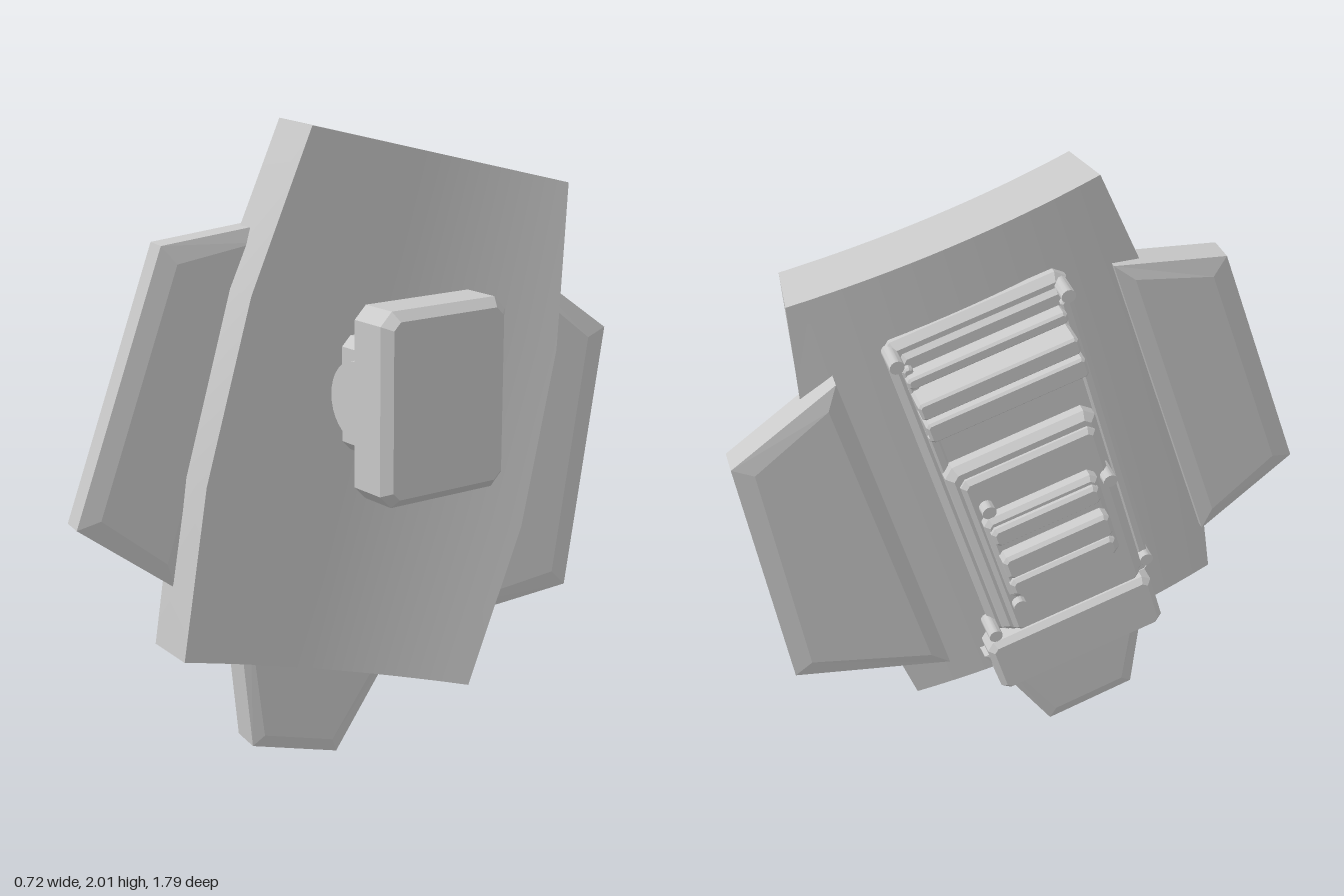
import * as THREE from 'three';
import { toCreasedNormals } from 'three/addons/utils/BufferGeometryUtils.js';

const grey = new THREE.MeshStandardMaterial({ color: 0xc8c8c8 });
grey.name = 'plain grey';

function add(parent, name, geometry, x = 0, y = 0, z = 0) {
  const mesh = new THREE.Mesh(geometry, grey);
  mesh.name = name;
  mesh.position.set(x, y, z);
  parent.add(mesh);
  return mesh;
}

// Curved main plate: rows of [height, +z edge, -z edge], bowed across its width
function plateGeometry() {
  const rows = [[-0.805, 0.441, -0.528], [-0.27, 0.508, -0.565], [0.3, 0.51, -0.532], [0.81, 0.441, -0.437]];
  const n = 16, ring = 2 * (n + 1), thick = 0.17, bow = 0.193;
  const pos = [], idx = [];
  for (const [y0, z0, z1] of rows) {
    const front = [], back = [];
    for (let i = 0; i <= n; i++) {
      const z = z0 + (z1 - z0) * i / n;
      const d = 0.44 - z, slope = 2 * bow * d, len = Math.hypot(1, slope);
      const x = 0.05 + bow * d * Math.abs(d), y = y0 + 0.025 * d;
      front.push([x, y, z]);
      back.unshift([x - thick / len, y, z - thick * slope / len]);
    }
    for (const p of [...front, ...back]) pos.push(...p);
  }
  const quad = (a, b, c, d) => idx.push(a, b, c, a, c, d);
  for (let j = 0; j < rows.length - 1; j++) {
    for (let i = 0; i < ring; i++) {
      const k = (i + 1) % ring, o = j * ring;
      quad(o + i, o + k, o + ring + k, o + ring + i);
    }
  }
  const top = (rows.length - 1) * ring;
  for (let i = 0; i < n; i++) {
    const b0 = ring - 1 - i, b1 = ring - 2 - i;
    quad(top + i, top + i + 1, top + b1, top + b0);
    quad(b0, b1, i + 1, i);
  }
  const g = new THREE.BufferGeometry();
  g.setAttribute('position', new THREE.Float32BufferAttribute(pos, 3));
  g.setIndex(idx);
  return toCreasedNormals(g, 0.5);
}

// Flat slab from a [z, y] outline, with a shallow bevel; its outer face lies at x = 0
function slab(outline, thick, inset, rise) {
  const shape = new THREE.Shape(outline.map(([z, y]) => new THREE.Vector2(-z, y)));
  const g = new THREE.ExtrudeGeometry(shape, {
    depth: thick - 2 * rise, bevelEnabled: true, bevelSegments: 1,
    bevelThickness: rise, bevelSize: inset, bevelOffset: -inset,
  });
  g.translate(0, 0, rise - thick);
  g.rotateY(Math.PI / 2);
  return g;
}

// Box with chamfered edges, centred, thickness along x
function chamferBox(depth, height, width, c) {
  const w = width / 2, h = height / 2;
  const outline = [[w - c, -h], [w, -h + c], [w, h - c], [w - c, h], [-w + c, h], [-w, h - c], [-w, -h + c], [-w + c, -h]];
  return slab(outline, depth, c * 0.7, c * 0.7).translate(depth / 2, 0, 0);
}

export function createModel() {
  const model = new THREE.Group();
  model.name = 'shield';

  // Tilted body
  const body = new THREE.Group();
  body.name = 'shieldBody';
  body.position.y = 1.1;
  body.rotation.set(-0.268, 0, -0.04);
  model.add(body);
  add(body, 'mainPlate', plateGeometry());

  // Side wings and lower fin
  const frontWing = [[0.755, 0.378], [0.42, 0.516], [0.466, -0.61], [0.812, -0.477]];
  const rearWing = [[-0.45, 0.56], [-0.818, 0.416], [-0.918, -0.44], [-0.46, -0.645]];
  const fin = [[0.23, -0.68], [0.074, -1.088], [-0.224, -1.082], [-0.35, -0.68]];
  add(body, 'frontWing', slab(frontWing, 0.105, 0.06, 0.012), 0.025).rotation.y = -0.165;
  add(body, 'rearWing', slab(rearWing, 0.105, 0.06, 0.012), -0.036).rotation.y = -0.235;
  add(body, 'lowerFin', slab(fin, 0.13, 0.04, 0.01), 0.012).rotation.y = -0.16;

  // Machinery on the inner face; h is measured outward from the plate
  const gear = new THREE.Group();
  gear.name = 'machinery';
  gear.position.x = -0.085;
  gear.rotation.y = -0.19;
  body.add(gear);
  const block = (name, z0, z1, y0, y1, h0, h1, c = 0.015) =>
    add(gear, name, chamferBox(h1 - h0, y1 - y0, z1 - z0, c), -(h0 + h1) / 2, (y0 + y1) / 2, (z0 + z1) / 2);

  block('basePanel', -0.31, 0.255, -0.62, 0.61, -0.03, 0.03, 0.03);
  block('basePanelStep', -0.28, 0.235, -0.6, 0.58, 0.03, 0.055, 0.02);
  block('lowerBox', -0.35, 0.22, -0.83, -0.61, -0.02, 0.08, 0.025);
  block('middlePanel', -0.28, 0.2, -0.55, 0.17, 0.05, 0.12, 0.03);
  block('middlePanelStep', -0.25, 0.18, -0.52, 0.14, 0.12, 0.155, 0.02);
  block('centreBlock', -0.23, 0.135, -0.33, 0.01, 0.15, 0.205, 0.02);

  // Cross rails
  for (const [y, t, h] of [[0.51, 0.04, 0.1], [0.44, 0.06, 0.15], [0.37, 0.07, 0.165], [0.29, 0.03, 0.09]]) {
    block('upperRail', -0.28, 0.21, y - t / 2, y + t / 2, 0.04, h, 0.01);
  }
  for (const [y, t, h] of [[-0.05, 0.07, 0.225], [-0.16, 0.09, 0.25], [-0.27, 0.07, 0.225]]) {
    block('centreRail', -0.22, 0.125, y - t / 2, y + t / 2, 0.19, h, 0.015);
  }
  // Long side rails
  for (const z of [-0.265, 0.22]) block('sideRail', z - 0.015, z + 0.015, -0.56, 0.55, 0.05, 0.075, 0.008);

  // Pins
  const pins = [[0.23, 0.57, 0.09], [-0.29, 0.58, 0.09], [0.17, -0.05, 0.19], [-0.2, 0.03, 0.19],
    [-0.21, -0.39, 0.18], [0.22, -0.51, 0.1], [-0.31, -0.56, 0.09]];
  for (const [z, y, h] of pins) {
    const g = toCreasedNormals(new THREE.CylinderGeometry(0.022, 0.022, h, 12).rotateZ(Math.PI / 2), 0.7);
    add(gear, 'pin', g, -h / 2, y, z);
  }

  // Upright pad on the outer face with its mount and pivot
  add(model, 'pad', chamferBox(0.18, 0.585, 0.46, 0.04), 0.27, 1.193, -0.075);
  add(model, 'padMount', chamferBox(0.14, 0.35, 0.4, 0.03), 0.14, 1.195, -0.085);
  const pivot = toCreasedNormals(new THREE.CylinderGeometry(0.12, 0.12, 0.4, 32).rotateX(Math.PI / 2), 0.7);
  add(model, 'padPivot', pivot, 0.19, 1.195, -0.06);

  return model;
}
